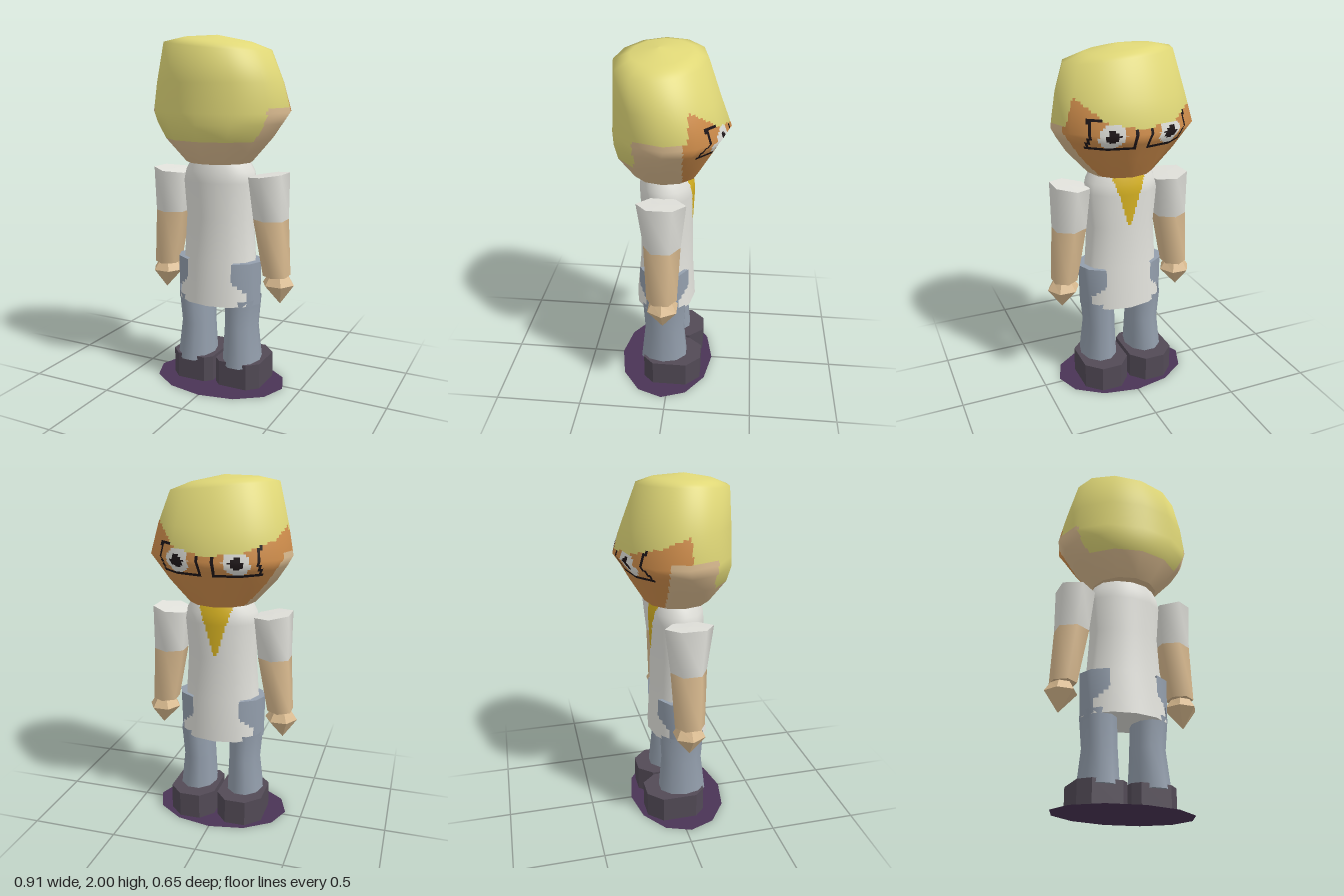
import * as THREE from 'three';

const mat = (name, color, side = THREE.FrontSide) => {
  const m = new THREE.MeshStandardMaterial({ color, side });
  m.name = name;
  return m;
};

// Lofts rings [y, centreX, radiusX, centreZ, radiusZ] from bottom to top.
// Each coarse quad is split sub x sub; pick(x, y, z) gives a material index, or -1 for a gap.
function loft(name, rings, mats, { n = 12, phase = 0, sub = 1, pick = () => 0, bend = null, flat = false } = {}) {
  const pos = [], idx = [];
  rings.forEach(([y, cx, rx, cz, rz]) => {
    for (let j = 0; j < n; j++) {
      const a = phase + (j / n) * Math.PI * 2;
      const p = new THREE.Vector3(cx + rx * Math.cos(a), y, cz + rz * Math.sin(a));
      if (bend) bend(p);
      pos.push(p.x, p.y, p.z);
    }
  });
  const quads = (rows, cols, emit) => {
    for (let i = 0; i < rows; i++) for (let j = 0; j < cols; j++) {
      const k = (j + 1) % cols, a = i * cols + j, b = a + cols, c = (i + 1) * cols + k, d = i * cols + k;
      emit([a, b, c, a, c, d], i);
    }
  };
  const same = i => rings[i].every((v, k) => v === rings[i + 1][k]);
  quads(rings.length - 1, n, (q, i) => { if (!same(i)) idx.push(...q); });
  const coarse = new THREE.BufferGeometry();
  coarse.setAttribute('position', new THREE.Float32BufferAttribute(pos, 3));
  coarse.setIndex(idx);
  coarse.computeVertexNormals();
  const nor = coarse.attributes.normal.array;

  // Subdivide positions and normals
  const rows = (rings.length - 1) * sub, cols = n * sub, P = [], N = [];
  const sample = (arr, i, j, k) => {
    const i0 = Math.min(Math.floor(i / sub), rings.length - 2), j0 = Math.floor(j / sub);
    const u = i / sub - i0, v = j / sub - j0, j1 = (j0 + 1) % n;
    const at = (r, c) => arr[(r * n + c) * 3 + k];
    return (1 - u) * ((1 - v) * at(i0, j0) + v * at(i0, j1)) + u * ((1 - v) * at(i0 + 1, j0) + v * at(i0 + 1, j1));
  };
  for (let i = 0; i <= rows; i++) for (let j = 0; j < cols; j++) {
    for (let k = 0; k < 3; k++) P.push(sample(pos, i, j, k));
    const v = new THREE.Vector3(...[0, 1, 2].map(k => sample(nor, i, j, k))).normalize();
    N.push(v.x, v.y, v.z);
  }
  const buckets = mats.map(() => []);
  quads(rows, cols, (q, i) => {
    if (same(Math.floor(i / sub))) return;
    const mid = k => (P[q[0] * 3 + k] + P[q[1] * 3 + k] + P[q[2] * 3 + k] + P[q[5] * 3 + k]) / 4;
    const m = pick(mid(0), mid(1), mid(2));
    if (m >= 0) buckets[m].push(...q);
  });
  let geo = new THREE.BufferGeometry();
  geo.setAttribute('position', new THREE.Float32BufferAttribute(P, 3));
  geo.setAttribute('normal', new THREE.Float32BufferAttribute(N, 3));
  geo.setIndex(buckets.flat());
  let start = 0;
  buckets.forEach((b, m) => { geo.addGroup(start, b.length, m); start += b.length; });
  if (flat) {
    geo = geo.toNonIndexed();
    geo.computeVertexNormals();
  }
  const mesh = new THREE.Mesh(geo, mats.length > 1 ? mats : mats[0]);
  mesh.name = name;
  return mesh;
}

// Head colours: 0 hair, 1 skin, 2 face, 3 white, 4 black
function headColour(x, y, z) {
  const ax = Math.abs(x), left = x > 0;
  const hairline = left ? 1.76 + (z + 0.12) * 0.78 : 1.62 + (z + 0.3) * 0.4;
  const faceEdge = y < 1.62 ? -0.09 + (1.6 - y) * 0.07 : (left ? -0.11 : 0.02);
  if (z < faceEdge && y < hairline) {
    const dx = ax - 0.16, dy = y - 1.58;
    const r = Math.hypot(dx, dy);
    if (r < 0.035) return 4;
    if (r < 0.068) return 3;
    const inFrame = ax > 0.03 && ax < 0.275 && y > 1.5 && y < 1.675;
    const inHole = ax > 0.045 && ax < 0.258 && y > 1.512 && y < 1.658;
    return inFrame && !inHole ? 4 : 2;
  }
  if (y > 1.62 || (z > 0.17 && y > 1.44)) return 0;
  return 1;
}

export function createModel() {
  const group = new THREE.Group();
  const hair = mat('hair', 0xdfd777), skin = mat('skin', 0xdabb90), face = mat('face', 0xd08e4c);
  const white = mat('white', 0xe1e1db), black = mat('black', 0x1e1618), denim = mat('denim', 0x939eac, THREE.DoubleSide);
  const boot = mat('boot', 0x524a56), yellow = mat('yellow', 0xd4b022), purple = mat('groundPurple', 0x4a3456, THREE.DoubleSide);

  // Head with a pointed front and a slightly tilted crown
  const crownTilt = p => { if (p.y > 1.9 && p.y < 1.995) p.y -= 0.1 * p.x + 0.04 * p.z; };
  group.add(loft('head', [
    [1.31, 0, 0.001, 0.03, 0.001], [1.31, 0, 0.19, 0.035, 0.185], [1.31, 0, 0.19, 0.035, 0.185],
    [1.44, 0, 0.31, 0.04, 0.27], [1.53, 0, 0.37, 0.025, 0.305], [1.59, 0, 0.405, 0.003, 0.323],
    [1.75, 0, 0.37, 0.03, 0.29], [1.945, 0, 0.31, 0.06, 0.25], [1.98, 0, 0.19, 0.06, 0.16],
    [2.0, 0, 0.001, 0.07, 0.001],
  ], [hair, skin, face, white, black], { sub: 12, pick: headColour, bend: crownTilt }));

  // Shirt with a yellow neckerchief at the front
  const hem = [0.5, 0, 0.25, 0.035, 0.175];
  group.add(loft('shirt', [
    [0.5, 0, 0.001, 0.035, 0.001], hem, hem, [0.75, 0, 0.222, 0.03, 0.155], [1.0, 0, 0.205, 0.028, 0.148],
    [1.2, 0, 0.222, 0.027, 0.157], [1.26, 0, 0.208, 0.027, 0.153], [1.32, 0, 0.175, 0.03, 0.135],
  ], [white, yellow], {
    sub: 10,
    pick: (x, y, z) => (z < 0 && y > 1.0 && Math.abs(x) < (y - 1.0) * 0.32 ? 1 : 0),
  }));

  // Trouser sides standing proud of the shirt
  group.add(loft('trouserHips', [
    [0.5, 0, 0.254, 0.035, 0.179], [0.75, 0, 0.26, 0.033, 0.168], [0.75, 0, 0.26, 0.033, 0.168],
    [0.752, 0, 0.215, 0.03, 0.145],
  ], [denim], {
    sub: 12,
    pick: x0 => x0,
  }.pick ? {
    sub: 12,
    pick: (x, y) => (Math.abs(x) > 0.21 - 0.07 * THREE.MathUtils.clamp((y - 0.58) / 0.06, 0, 1) ? 0 : -1),
  } : {}));

  for (const s of [1, -1]) {
    const side = s > 0 ? 'left' : 'right';

    // Leg
    group.add(loft(side + 'Leg', [
      [0.13, s * 0.147, 0.001, 0.03, 0.001], [0.13, s * 0.147, 0.112, 0.032, 0.143], [0.13, s * 0.147, 0.112, 0.032, 0.143],
      [0.35, s * 0.14, 0.095, 0.03, 0.12], [0.53, s * 0.15, 0.1, 0.03, 0.13],
    ], [denim], { n: 10 }));

    // Boot with cut corners
    const sole = new THREE.Shape([
      [0.05, -0.15], [0.22, -0.15], [0.28, -0.09], [0.28, 0.11], [0.2, 0.19], [0.08, 0.19], [0.01, 0.11], [0.01, -0.11],
    ].map(([x, y]) => new THREE.Vector2(s * x, y)));
    const bootMesh = new THREE.Mesh(new THREE.ExtrudeGeometry(sole, { depth: 0.15, bevelEnabled: false }), boot);
    bootMesh.rotation.x = -Math.PI / 2;
    bootMesh.position.y = 0.004;
    bootMesh.name = side + 'Boot';
    group.add(bootMesh);

    // Sleeve and bare forearm
    const hex = { n: 6, phase: Math.PI / 6 };
    const slope = p => { if (p.y > 1.2) p.y += 0.13 * (Math.abs(p.x) - 0.3); };
    const elbow = [1.0, s * 0.313, 0.1, 0.025, 0.102], shoulder = [1.248, s * 0.3, 0.112, 0.03, 0.135];
    const wrist = [0.68, s * 0.352, 0.077, 0.025, 0.086];
    group.add(loft(side + 'Sleeve', [elbow, shoulder, shoulder, [1.25, s * 0.3, 0.001, 0.03, 0.001]], [white], { ...hex, bend: slope }));
    group.add(loft(side + 'Forearm', [[0.68, s * 0.352, 0.001, 0.025, 0.001], wrist, wrist, elbow], [skin], hex));

    // Hand
    group.add(loft(side + 'Hand', [
      [0.515, s * 0.372, 0.001, 0.018, 0.001], [0.63, s * 0.36, 0.094, 0.018, 0.094],
      [0.68, s * 0.36, 0.06, 0.018, 0.065], [0.685, s * 0.36, 0.001, 0.018, 0.001],
    ], [skin], { n: 6, flat: true }));
  }

  // Flat ground disc
  const disc = new THREE.Mesh(new THREE.CircleGeometry(0.4, 12), purple);
  disc.rotation.x = -Math.PI / 2;
  disc.scale.y = 0.285 / 0.4;
  disc.position.set(0, 0.002, 0.03);
  disc.name = 'groundDisc';
  group.add(disc);
  return group;
}
